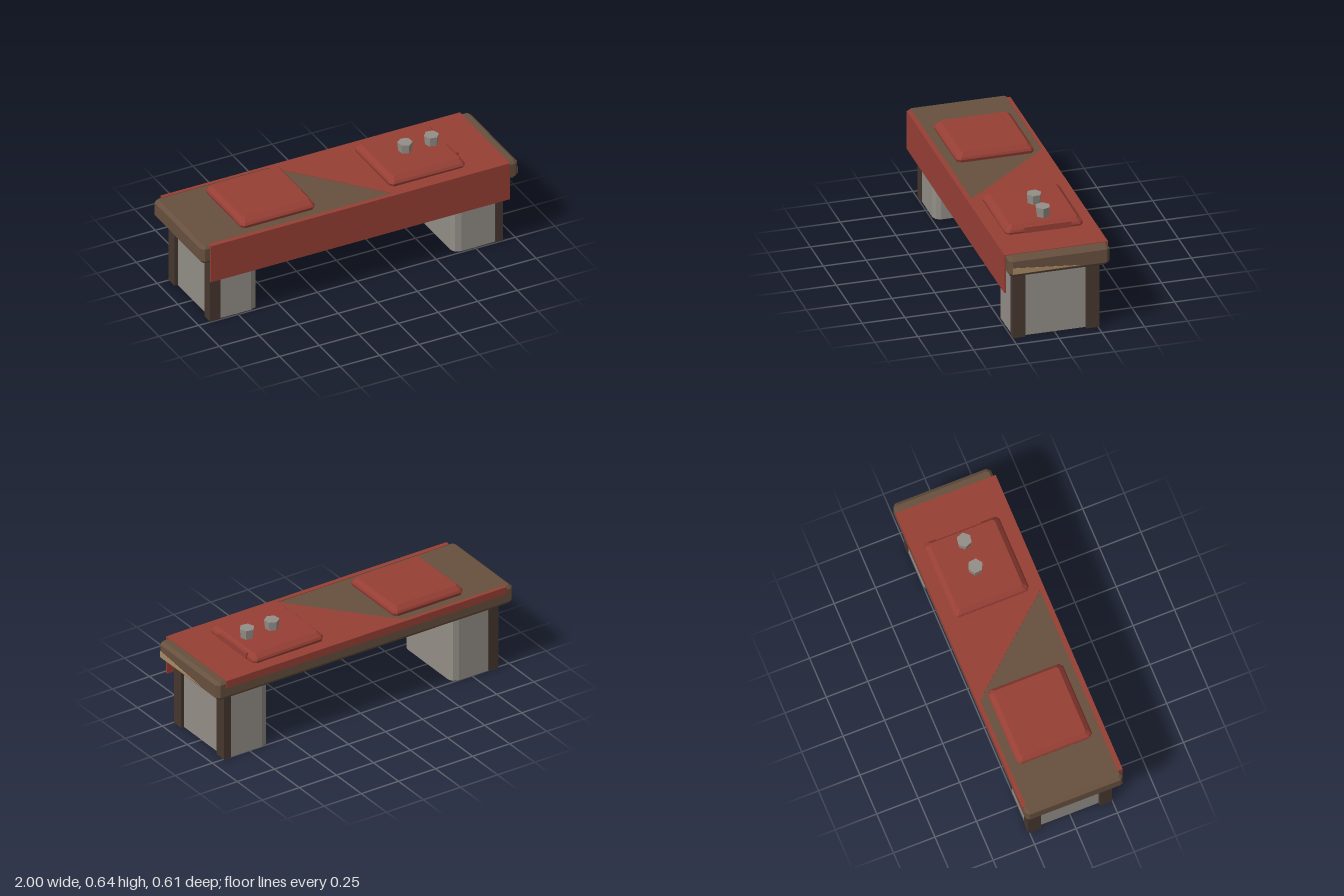
import * as THREE from 'three';
import { ConvexGeometry } from 'three/addons/geometries/ConvexGeometry.js';

const mat = (name, color) => {
  const m = new THREE.MeshStandardMaterial({ color, flatShading: true });
  m.name = name;
  return m;
};

export function createModel() {
  const wood = mat('brown wood', 0x67503e);
  const darkWood = mat('dark wood', 0x46372f);
  const stone = mat('grey stone', 0x938e87);
  const cloth = mat('red cloth', 0x973f35);
  const sand = mat('bare wood', 0xa78b64);
  const model = new THREE.Group();
  model.name = 'bench';

  const add = (name, geometry, material, parent = model) => {
    const mesh = new THREE.Mesh(geometry, material);
    mesh.name = name;
    parent.add(mesh);
    return mesh;
  };

  // Box between two corners
  const box = (x0, x1, y0, y1, z0, z1) =>
    new THREE.BoxGeometry(x1 - x0, y1 - y0, z1 - z0)
      .translate((x0 + x1) / 2, (y0 + y1) / 2, (z0 + z1) / 2);

  // Convex solid from outlines [[x, z], ...] stacked at heights
  const stack = (layers) => new ConvexGeometry(
    layers.flatMap(([y, pts]) => pts.map(([x, z]) => new THREE.Vector3(x, y, z))));

  // Rectangle with cut corners
  const cutRect = (x0, x1, z0, z1, c) => [
    [x0 + c, z0], [x1 - c, z0], [x1, z0 + c], [x1, z1 - c],
    [x1 - c, z1], [x0 + c, z1], [x0, z1 - c], [x0, z0 + c]];

  // Thin horizontal plate from an outline
  const plate = (pts, y, thickness) => new THREE.ExtrudeGeometry(
    new THREE.Shape(pts.map(([x, z]) => new THREE.Vector2(x, -z))),
    { depth: thickness, bevelEnabled: false }).rotateX(-Math.PI / 2).translate(0, y, 0);

  // Bevelled table top
  add('tableTop', stack([
    [0.415, cutRect(-0.98, 0.98, -0.285, 0.275, 0.01)],
    [0.435, cutRect(-1, 1, -0.3, 0.29, 0.02)],
    [0.515, cutRect(-1, 1, -0.3, 0.29, 0.02)],
    [0.532, cutRect(-0.98, 0.98, -0.285, 0.275, 0.01)],
  ]), wood);

  // Worn patch on the end face
  const patch = new THREE.Shape([[-0.27, 0.436], [0.13, 0.441], [-0.27, 0.476]]
    .map(([x, y]) => new THREE.Vector2(x, y)));
  add('wornPatch', new THREE.ExtrudeGeometry(patch, { depth: 0.003, bevelEnabled: false })
    .rotateY(Math.PI / 2).translate(0.999, 0, 0), sand);

  // Cloth with a slanted edge, hanging at front and back
  const drape = new THREE.Group();
  drape.name = 'cloth';
  model.add(drape);
  add('clothTop', plate([
    [-0.95, 0.302], [0.94, 0.302], [0.94, -0.304], [-0.95, -0.304],
    [-0.95, -0.282], [-0.28, -0.282], [-0.24, -0.25], [0.21, 0.273], [-0.95, 0.273],
  ], 0.53, 0.005), cloth, drape);
  add('clothFront', box(-0.95, 0.94, 0.298, 0.533, 0.291, 0.302), cloth, drape);
  add('clothBack', box(-0.95, 0.94, 0.488, 0.533, -0.304, -0.296), cloth, drape);

  // Stone panel under the top
  add('underPanel', plate([
    [-0.9, 0.265], [0, 0.265], [0.25, 0.22], [0.43, -0.2], [-0.9, -0.2],
  ], 0.411, 0.005), stone);

  // Two stone legs with dark posts on the outer corners
  for (const s of [-1, 1]) {
    const leg = new THREE.Group();
    leg.name = s > 0 ? 'leftLeg' : 'rightLeg';
    model.add(leg);
    const outline = (outer) => [
      [s * outer, 0.238], [s * 0.665, 0.24], [s * 0.63, 0.228], [s * 0.617, 0.2],
      [s * 0.617, -0.21], [s * 0.63, -0.238], [s * 0.665, -0.25], [s * outer, -0.25]];
    add('legBlock', stack([
      [0, outline(0.905)], [0.39, outline(0.905)], [0.418, outline(0.885)],
    ]), stone, leg);
    const [xa, xb] = s > 0 ? [0.878, 0.925] : [-0.925, -0.86];
    add('frontPost', box(xa, xb, 0, 0.42, 0.175, 0.246), darkWood, leg);
    add('backPost', box(xa, xb, 0, 0.42, -0.258, -0.182), darkWood, leg);
  }

  // Bevelled place mats, the second leaning slightly
  const mat3 = (x0, x1) => stack([
    [0.53, cutRect(x0 + 0.005, x1 - 0.005, -0.23, 0.217, 0.02)],
    [0.55, cutRect(x0, x1, -0.234, 0.222, 0.02)],
    [0.563, cutRect(x0 + 0.005, x1 - 0.005, -0.228, 0.214, 0.02)],
    [0.586, cutRect(x0 + 0.028, x1 - 0.025, -0.202, 0.188, 0.01)],
  ]);
  add('rightMat', mat3(-0.712, -0.24), cloth);
  add('leftMat', mat3(0.228, 0.708), cloth).geometry
    .translate(-0.468, -0.56, 0).rotateZ(-0.012).translate(0.468, 0.559, 0);
  add('matEdge', box(0.68, 0.711, 0.535, 0.57, -0.16, 0.115), cloth);

  // Small flared six-sided cups
  for (const [x, turn] of [[0.445, 0.1], [0.612, 0.35]]) {
    const cup = add('cup', new THREE.CylinderGeometry(0.044, 0.037, 0.066, 6), stone);
    cup.position.set(x, 0.608, -0.021);
    cup.rotation.y = turn;
  }

  return model;
}
